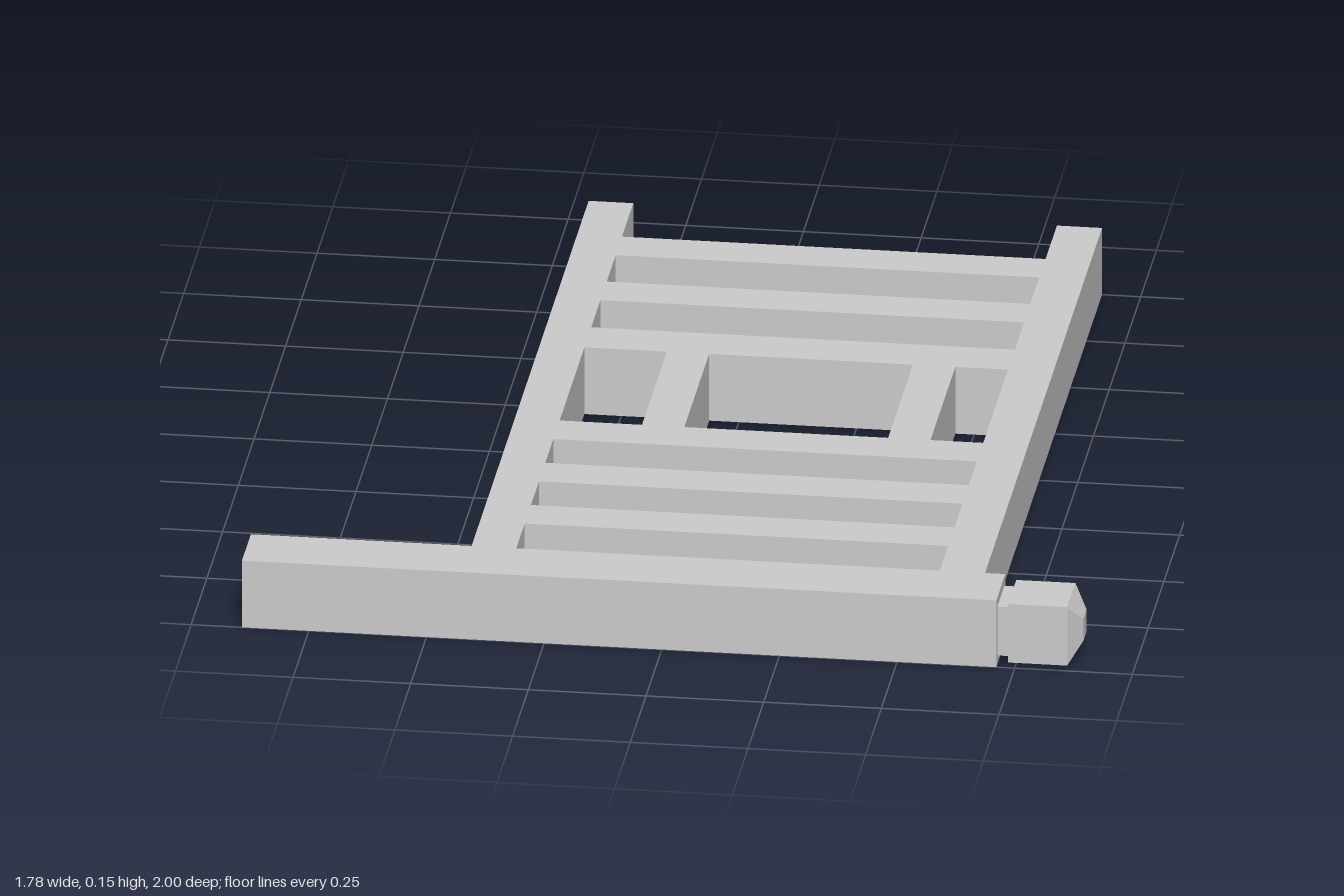
import * as THREE from 'three';

const HEIGHT = 0.153;
const material = new THREE.MeshStandardMaterial({ color: 0xcccccc, flatShading: true, side: THREE.DoubleSide });

// Plan points are [x, z]; the shape's y runs against z.
const toPoints = (pts) => pts.map(([x, z]) => new THREE.Vector2(x, -z));
const rectangle = (x0, x1, z0, z1) => new THREE.Path(toPoints([[x0, z0], [x1, z0], [x1, z1], [x0, z1]]));

// Drops the walls at the open ends of the hollow rails and post.
function openEnds(geometry, isEnd) {
  const p = geometry.attributes.position;
  const kept = [];
  for (let i = 0; i < p.count; i += 3) {
    const corners = [i, i + 1, i + 2];
    if (corners.every((k) => isEnd(p.getX(k), p.getZ(k)))) continue;
    for (const k of corners) kept.push(p.getX(k), p.getY(k), p.getZ(k));
  }
  const open = new THREE.BufferGeometry();
  open.setAttribute('position', new THREE.Float32BufferAttribute(kept, 3));
  open.computeVertexNormals();
  return open;
}

function addMesh(group, name, geometry, x = 0, y = 0, z = 0) {
  const mesh = new THREE.Mesh(geometry, material);
  mesh.name = name;
  mesh.position.set(x, y, z);
  group.add(mesh);
}

export function createModel() {
  const group = new THREE.Group();
  group.name = 'fencePanel';

  // Outline of two long rails, the end slat and the cross post
  const outline = new THREE.Shape(toPoints([
    [-0.892, 1], [0.711, 1], [0.711, 0.858], [0.668, 0.858], [0.668, -1], [0.572, -1],
    [0.572, -0.82], [-0.328, -0.82], [-0.328, -1], [-0.423, -1], [-0.423, 0.858], [-0.892, 0.858],
  ]));

  // Gaps between the slats
  const gaps = [[-0.72, -0.578], [-0.478, -0.332], [0.27, 0.398], [0.498, 0.625], [0.725, 0.858]];
  for (const [z0, z1] of gaps) outline.holes.push(rectangle(-0.328, 0.572, z0, z1));

  // Middle window with a narrow opening on each side
  for (const [x0, x1] of [[-0.328, -0.153], [-0.063, 0.37], [0.46, 0.572]]) {
    outline.holes.push(rectangle(x0, x1, -0.224, 0.17));
  }

  let frame = new THREE.ExtrudeGeometry(outline, { depth: HEIGHT, bevelEnabled: false });
  frame.rotateX(-Math.PI / 2);
  if (frame.index) frame = frame.toNonIndexed();
  addMesh(group, 'frame', openEnds(frame, (x, z) => z < -0.999 || x < -0.891));

  // Post finial: neck, block and blunt pyramid tip
  const y = HEIGHT / 2;
  const z = 0.929;
  addMesh(group, 'finialNeck', new THREE.BoxGeometry(0.03, 0.112, 0.112), 0.723, y, z);
  addMesh(group, 'finialBlock', new THREE.BoxGeometry(0.126, 0.134, 0.13), 0.798, y, z);
  const tip = new THREE.CylinderGeometry(0.025 * Math.SQRT2, 0.066 * Math.SQRT2, 0.029, 4);
  tip.rotateY(Math.PI / 4).rotateZ(-Math.PI / 2);
  addMesh(group, 'finialTip', tip, 0.8755, y, z);

  return group;
}
